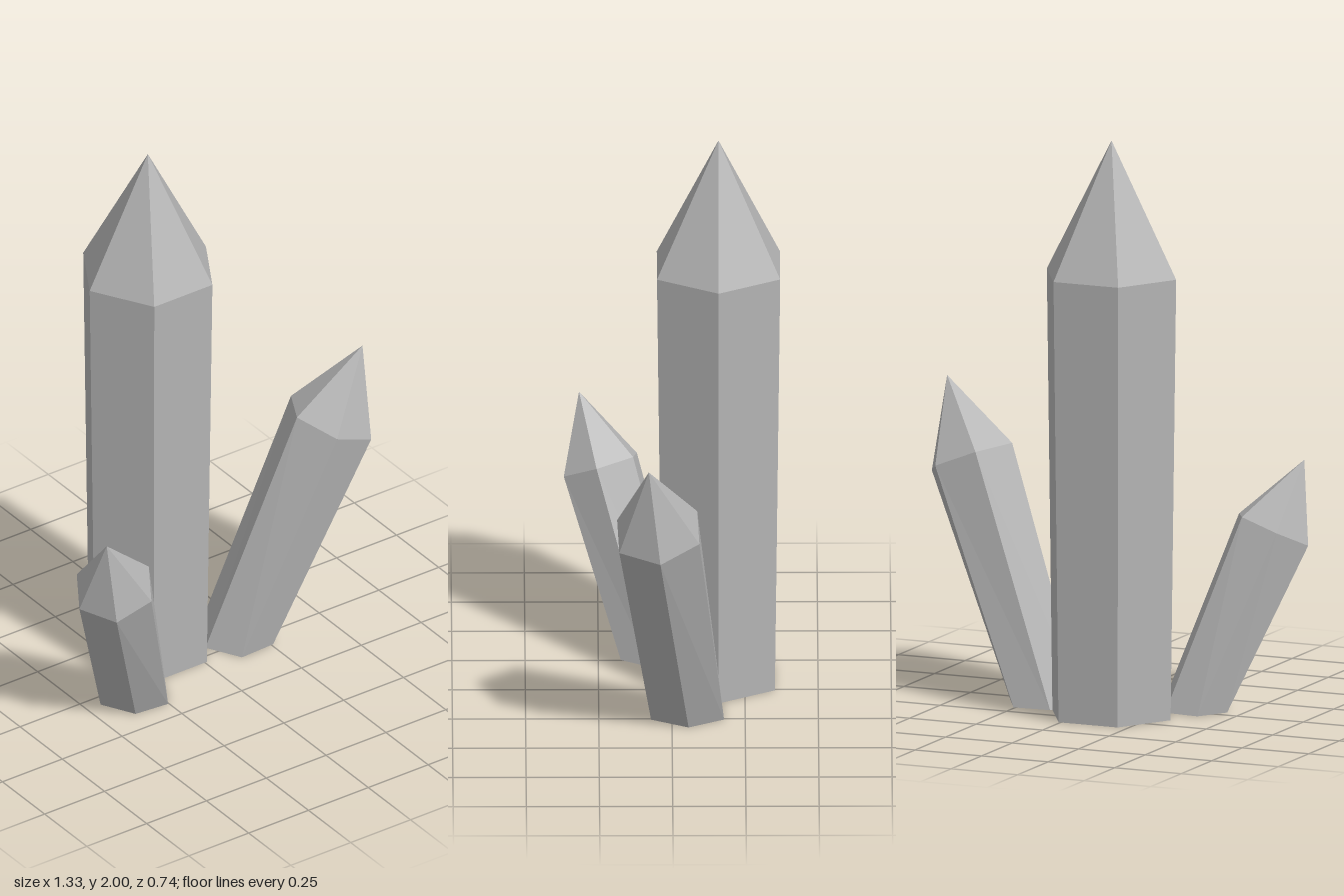
import * as THREE from 'three';

const stone = new THREE.MeshStandardMaterial({ color: 0xb4b4b4, flatShading: true });
stone.name = 'grey crystal';

// Six-sided crystal: flaring shaft, pointed cap, leaning about its base, foot flattened onto the ground
function crystal(name, { x, z, baseRadius, topRadius, shaft, length, leanX = 0, leanZ = 0 }) {
  const profile = [
    new THREE.Vector2(0, 0),
    new THREE.Vector2(baseRadius, 0),
    new THREE.Vector2(topRadius, shaft),
    new THREE.Vector2(0, length),
  ];
  const geometry = new THREE.LatheGeometry(profile, 6).rotateY(Math.PI / 6);
  const position = geometry.attributes.position;
  const lean = new THREE.Euler(leanX, 0, leanZ);
  const v = new THREE.Vector3();
  for (let i = 0; i < position.count; i++) {
    v.fromBufferAttribute(position, i);
    const onGround = v.y === 0;
    v.applyEuler(lean);
    position.setXYZ(i, v.x + x, onGround ? 0 : v.y, v.z + z);
  }
  geometry.computeVertexNormals();
  const mesh = new THREE.Mesh(geometry, stone);
  mesh.name = name;
  return mesh;
}

export function createModel() {
  const group = new THREE.Group();
  group.name = 'crystalCluster';
  group.add(
    crystal('mainCrystal', {
      x: -0.103, z: -0.16, baseRadius: 0.222, topRadius: 0.243, shaft: 1.535, length: 2,
    }),
    crystal('leftCrystal', {
      x: 0.19, z: -0.05, baseRadius: 0.145, topRadius: 0.159, shaft: 0.88, length: 1.172,
      leanX: 0.12, leanZ: -0.38,
    }),
    crystal('rightCrystal', {
      x: -0.317, z: 0.056, baseRadius: 0.134, topRadius: 0.143, shaft: 0.67, length: 0.931,
      leanX: 0.297, leanZ: 0.32,
    }),
  );
  return group;
}
